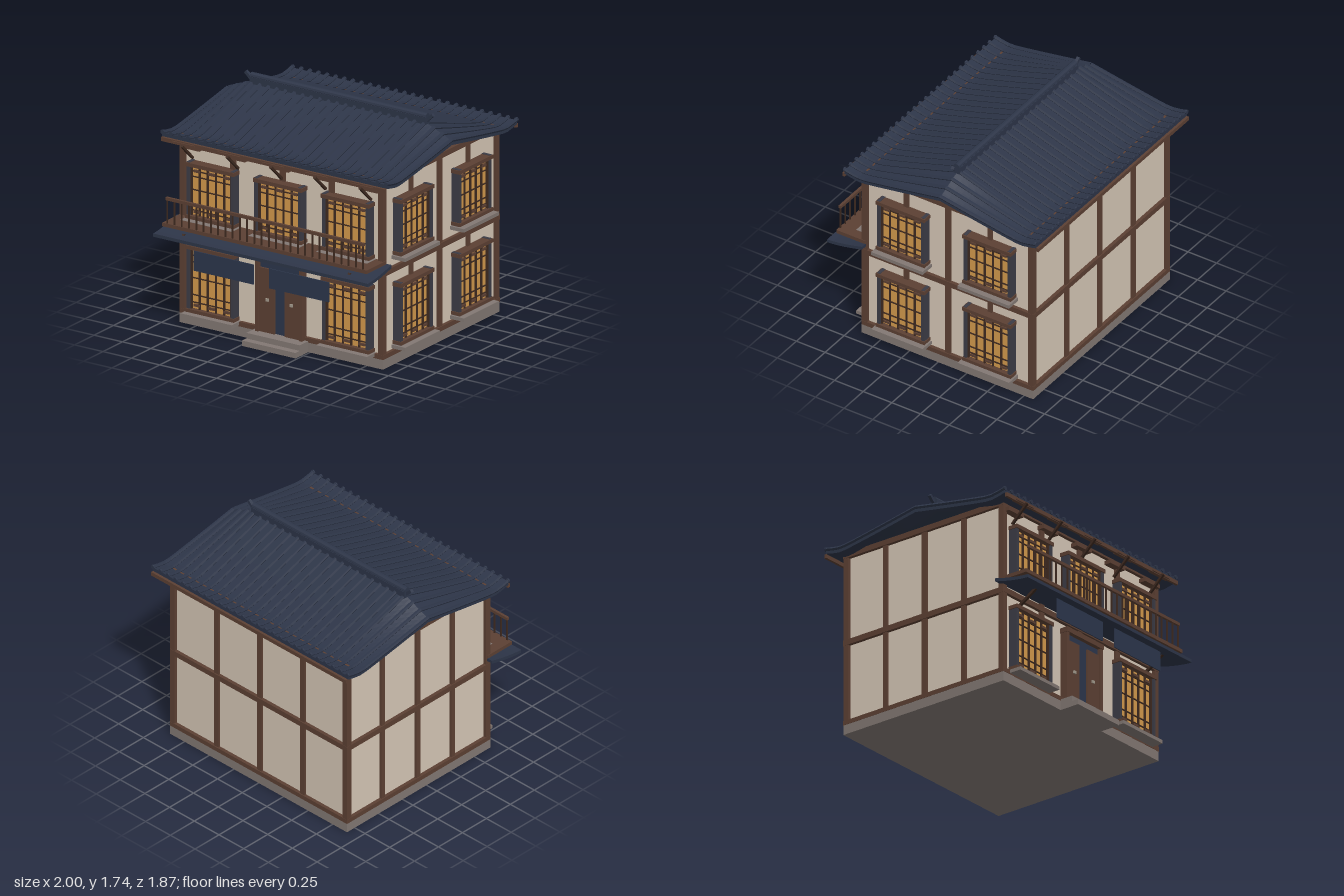
import * as THREE from 'three';

const mat = (name, color) => {
  const m = new THREE.MeshStandardMaterial({ color });
  m.name = name;
  return m;
};

export function createModel() {
  const plaster = mat('plaster', 0xd6c7b6), wood = mat('wood', 0x5c4033), darkWood = mat('dark wood', 0x3e2a20);
  const stone = mat('stone', 0x827873), tile = mat('roof tile', 0x2d3548), cloth = mat('indigo cloth', 0x2c364c);
  const paper = mat('lit paper', 0xd49a4c), slate = mat('slate frame', 0x3c3c46), metal = mat('metal', 0xa39a8c);
  tile.flatShading = true;

  const model = new THREE.Group();
  model.name = 'townhouse';
  const add = (name, geo, m, parent = model) => {
    const mesh = new THREE.Mesh(geo, m);
    mesh.name = name;
    parent.add(mesh);
    return mesh;
  };
  // box given by its limits on each axis
  const box = (name, m, x0, x1, y0, y1, z0, z1, parent) => {
    const b = add(name, new THREE.BoxGeometry(x1 - x0, y1 - y0, z1 - z0), m, parent);
    b.position.set((x0 + x1) / 2, (y0 + y1) / 2, (z0 + z1) / 2);
  };
  // square bar between two points
  const strut = (name, m, a, b, w) => {
    const p = new THREE.Vector3(...a), q = new THREE.Vector3(...b);
    const s = add(name, new THREE.BoxGeometry(w, w, p.distanceTo(q)), m);
    s.position.copy(p).lerp(q, 0.5);
    s.lookAt(q);
  };

  const CZ = -0.08;                       // middle of the house in z
  const X = 0.895, ZF = 0.667, ZB = -0.83; // outer faces of the timber frame

  // base, walls and steps
  box('foundation', stone, -X, X, 0, 0.08, ZB, ZF);
  box('walls', plaster, -0.87, 0.87, 0.08, 1.44, -0.805, 0.642);
  box('lowerStep', stone, -0.235, 0.235, 0, 0.042, 0.66, 0.83);
  box('upperStep', stone, -0.235, 0.235, 0.042, 0.085, 0.66, 0.775);

  // timber frame: posts and three rings of beams
  for (const x of [-0.873, -0.435, 0, 0.435, 0.873]) {
    const inset = Math.abs(x) > 0.8 ? 0 : 0.006;
    box('frontPost', wood, x - 0.022, x + 0.022, x === 0 ? 0.7 : 0.08, 1.42, 0.62, ZF - inset);
    box('backPost', wood, x - 0.022, x + 0.022, 0.08, 1.42, ZB + inset, -0.785);
  }
  for (const s of [-1, 1]) for (const dz of [-0.365, 0, 0.365]) {
    const w = dz ? 0.019 : 0.022;
    box('sidePost', wood, s * 0.87 - 0.02, s * 0.87 + 0.02, 0.08, 1.42, CZ + dz - w, CZ + dz + w);
  }
  for (const [y0, y1] of [[0.075, 0.11], [0.712, 0.755], [1.408, 1.45]]) {
    box('frontBeam', wood, -X, X, y0, y1, 0.625, ZF + 0.002);
    box('backBeam', wood, -X, X, y0, y1, ZB - 0.002, -0.785);
    for (const s of [-1, 1])
      box('sideBeam', wood, s * 0.874 - 0.023, s * 0.874 + 0.023, y0, y1, ZB, ZF);
  }

  // lattice window, facing +z, its back on the wall
  const windowUnit = (x, y0, y1, z, turn) => {
    const g = new THREE.Group();
    g.name = 'window';
    g.position.set(x, y0, z);
    g.rotation.y = turn;
    model.add(g);
    const h = y1 - y0, w = 0.205;
    box('windowPaper', paper, -w + 0.02, w - 0.02, 0.02, h - 0.02, 0, 0.04, g);
    for (const s of [-1, 1]) {
      box('windowJamb', slate, s * 0.193 - 0.013, s * 0.193 + 0.013, 0, h, 0, 0.07, g);
      box('innerJamb', darkWood, s * 0.175 - 0.006, s * 0.175 + 0.006, 0.01, h - 0.01, 0, 0.058, g);
    }
    box('windowHead', wood, -w - 0.008, w + 0.008, h - 0.033, h - 0.004, 0, 0.079, g);
    box('windowFoot', wood, -w - 0.008, w + 0.008, 0.004, 0.03, 0, 0.079, g);
    box('windowSill', stone, -0.225, 0.225, -0.027, 0, 0, 0.12, g);
    for (const bx of [-0.108, -0.036, 0.036, 0.108])
      box('latticeUpright', darkWood, bx - 0.006, bx + 0.006, 0.02, h - 0.02, 0.03, 0.052, g);
    for (const f of [0.15, 0.26, 0.51, 0.74, 0.84])
      box('latticeRail', darkWood, -0.175, 0.175, f * h - 0.004, f * h + 0.004, 0.03, 0.048, g);
    for (const bx of [-0.13, 0, 0.13]) for (const y of [0.058, h - 0.068])
      box('latticeSlat', wood, bx - 0.027, bx + 0.027, y - 0.009, y + 0.009, 0.03, 0.056, g);
  };
  for (const x of [-0.595, 0, 0.595]) {
    windowUnit(x, 0.835, 1.275, 0.645, 0);
    if (x) windowUnit(x, 0.112, 0.635, 0.645, 0);
  }
  for (const z of [0.297, -0.457]) {
    windowUnit(0.87, 0.835, 1.275, z, Math.PI / 2);
    windowUnit(0.87, 0.145, 0.628, z, Math.PI / 2);
  }

  // entrance
  box('doorway', cloth, -0.2, 0.2, 0.085, 0.635, 0.63, 0.675);
  box('doorLintel', wood, -0.21, 0.21, 0.632, 0.67, 0.63, 0.71);
  for (const s of [-1, 1]) {
    box('doorLeaf', wood, s * 0.125 - 0.08, s * 0.125 + 0.08, 0.085, 0.58, 0.64, 0.69);
    box('doorJamb', wood, s * 0.193 - 0.013, s * 0.193 + 0.013, 0.085, 0.64, 0.64, 0.705);
    box('doorHandle', metal, s * 0.107 - 0.012, s * 0.107 + 0.012, 0.33, 0.352, 0.685, 0.7);
    box('hangingCloth', cloth, s * 0.333 - 0.263, s * 0.333 + 0.263, 0.537, 0.69, 0.919, 0.927);
  }

  // canopy: a slab bent along its depth
  const canopyGeo = new THREE.BoxGeometry(1.89, 0.025, 0.305, 1, 1, 6);
  const cp = canopyGeo.attributes.position;
  for (let i = 0; i < cp.count; i++) {
    const u = Math.max(0, 0.5 - cp.getZ(i) / 0.305);   // 0 at the outer edge
    cp.setY(i, cp.getY(i) + 0.742 + 0.055 * Math.pow(u, 1.5));
  }
  canopyGeo.computeVertexNormals();
  add('canopy', canopyGeo, tile).position.z = 0.783;
  for (const x of [-0.73, 0.73])
    strut('canopyBrace', darkWood, [x, 0.64, 0.67], [x, 0.765, 0.865], 0.02);

  // balcony
  box('balconyFloor', wood, -0.9, 0.9, 0.805, 0.833, 0.63, 0.885);
  box('balconyRail', wood, -0.87, 0.87, 1.012, 1.035, 0.865, 0.885);
  for (let i = 0; i <= 27; i++) {
    const x = -0.862 + i * 1.724 / 27;
    box('baluster', darkWood, x - 0.005, x + 0.005, 0.83, 1.015, 0.87, 0.88);
  }

  // eave braces and bearing plates
  for (const x of [-0.785, -0.385, 0, 0.385, 0.785]) {
    strut('eaveBrace', darkWood, [x, 1.29, 0.66], [x, 1.42, 0.8], 0.018);
    box('bearingPlate', wood, x - 0.098, x + 0.098, 1.418, 1.436, 0.74, 0.785);
    box('braceBlock', wood, x - 0.085, x + 0.085, 1.365, 1.395, 0.64, 0.7);
  }

  // roof surface: rises to the ridge, sags at the gable ends, lifts at the eaves
  const HALF = 0.835;
  const roofY = (x, dz) => {
    const t = Math.abs(dz) / HALF, end = Math.max(0, (Math.abs(x) - 0.74) / 0.25);
    const rise = 0.22 * (1 - 0.46 * Math.pow(end, 1.1));
    return 1.443 + rise * Math.pow(Math.max(0, 1 - t / 0.86), 1.08) + 0.03 * Math.pow(Math.max(0, (t - 0.78) / 0.22), 1.6);
  };
  const roofGeo = new THREE.BoxGeometry(1.98, 0.03, 2 * HALF, 52, 1, 28);
  const rp = roofGeo.attributes.position;
  for (let i = 0; i < rp.count; i++)
    rp.setY(i, rp.getY(i) - 0.015 + roofY(rp.getX(i), rp.getZ(i)));
  roofGeo.computeVertexNormals();
  add('roof', roofGeo, tile).position.z = CZ;

  // rows of round tiles running down both slopes
  for (let i = 0; i < 27; i++) for (const s of [-1, 1]) {
    const x = -0.985 + i * 1.97 / 26, pts = [];
    for (let k = 0; k <= 12; k++) {
      const dz = s * HALF * k / 12;
      pts.push(new THREE.Vector3(x, roofY(x, dz) + 0.006, CZ + dz));
    }
    add('tileRow', new THREE.TubeGeometry(new THREE.CatmullRomCurve3(pts), 14, 0.015, 6), tile);
    const cap = add('tileEnd', new THREE.CylinderGeometry(0.017, 0.017, 0.012, 8), tile);
    cap.rotation.x = Math.PI / 2;
    cap.position.set(x, roofY(x, HALF) + 0.006, CZ + s * HALF);
  }
  for (const s of [-1, 1])
    box('fascia', wood, -0.985, 0.985, 1.413, 1.444, CZ + s * 0.845 - 0.01, CZ + s * 0.845 + 0.01);

  // ridge cap with upturned ends
  box('ridgeBase', tile, -0.775, 0.775, 1.65, 1.705, CZ - 0.028, CZ + 0.028);
  const roll = add('ridgeRoll', new THREE.CylinderGeometry(0.025, 0.025, 1.55, 10), tile);
  roll.rotation.z = Math.PI / 2;
  roll.position.set(0, 1.709, CZ);
  for (const s of [-1, 1])
    strut('ridgeHorn', tile, [s * 0.765, 1.675, CZ], [s * 0.825, 1.73, CZ], 0.024);

  return model;
}
